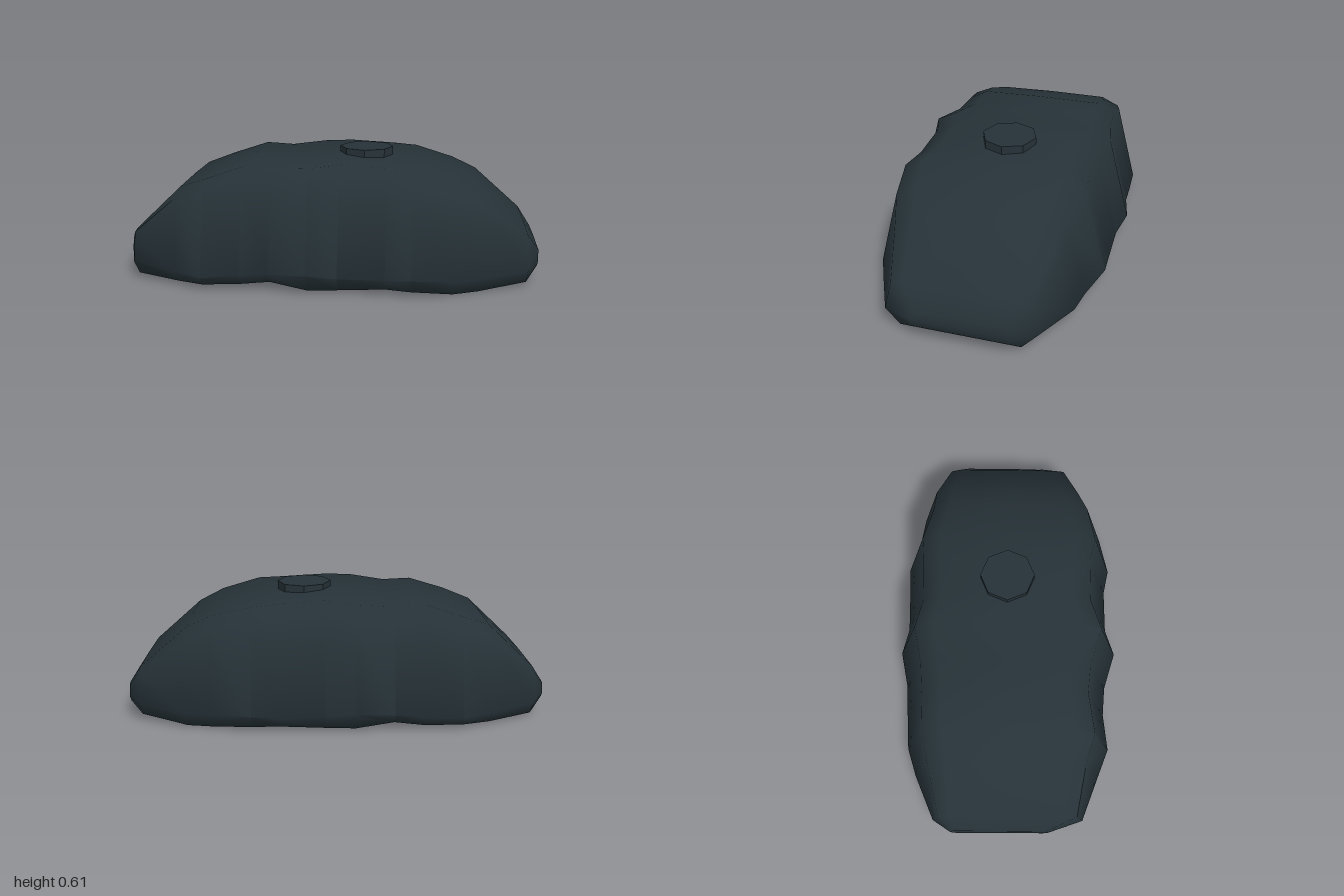
import * as THREE from 'three';
import { toCreasedNormals } from 'three/addons/utils/BufferGeometryUtils.js';

// Body stations along x: [x, front z, back z, top y, bottom y, flare y]
const STATIONS = [
  [-1.0, 0.20, -0.28, 0.16, 0.085, 0.11],
  [-0.94, 0.37, -0.37, 0.25, 0.015, 0.095],
  [-0.72, 0.455, -0.465, 0.46, 0.015, 0.08],
  [-0.58, 0.51, -0.51, 0.51, 0.025, 0.07],
  [-0.40, 0.49, -0.52, 0.57, 0.025, 0.08],
  [-0.26, 0.50, -0.525, 0.56, 0.045, 0.095],
  [-0.08, 0.555, -0.56, 0.578, 0.018, 0.112],
  [0.06, 0.515, -0.53, 0.59, 0.012, 0.09],
  [0.28, 0.515, -0.535, 0.577, 0.03, 0.09],
  [0.40, 0.54, -0.54, 0.565, 0.025, 0.1],
  [0.59, 0.50, -0.485, 0.515, 0.005, 0.09],
  [0.71, 0.445, -0.465, 0.46, 0.005, 0.09],
  [0.94, 0.335, -0.355, 0.26, 0.025, 0.1],
  [1.0, 0.20, -0.27, 0.17, 0.08, 0.11],
];

// Closed section: flared skirt, leaning sides, chamfered shoulders, flat underside
function section([x, front, back, top, bottom, flare]) {
  const h = top - flare;
  const lean = 0.23 * h;
  const chamfer = Math.min(0.09, 0.2 * h + 0.015);
  const inset = Math.min(0.075, (flare - bottom) * 0.9);
  const shoulder = flare + 0.89 * h;
  return [
    [x, flare, front],
    [x, shoulder, front - lean],
    [x, top - 0.008, front - lean - chamfer],
    [x, top, 0],
    [x, top, back + lean + chamfer],
    [x, shoulder, back + lean],
    [x, flare, back],
    [x, bottom, back + inset],
    [x, bottom, 0],
    [x, bottom, front - inset],
  ];
}

function loftBody() {
  const rings = STATIONS.map(section);
  const n = rings[0].length;
  const positions = rings.flat(2);
  const index = [];
  for (let i = 0; i < rings.length - 1; i++) {
    for (let j = 0; j < n; j++) {
      const k = (j + 1) % n;
      const a = i * n + j, b = a + n, c = i * n + k, d = c + n;
      index.push(a, b, c, b, d, c);
    }
  }
  // Blunt end caps
  const last = (rings.length - 1) * n;
  for (let j = 1; j < n - 1; j++) {
    index.push(0, j, j + 1);
    index.push(last, last + j + 1, last + j);
  }
  const geometry = new THREE.BufferGeometry();
  geometry.setAttribute('position', new THREE.Float32BufferAttribute(positions, 3));
  geometry.setIndex(index);
  return toCreasedNormals(geometry, 1.0);
}

export function createModel() {
  const slate = new THREE.MeshStandardMaterial({ color: 0x263238 });
  slate.name = 'darkSlate';

  const model = new THREE.Group();
  model.name = 'domedShell';

  const body = new THREE.Mesh(loftBody(), slate);
  body.name = 'body';

  // Eight-sided cap sunk into the top
  const cap = new THREE.Mesh(toCreasedNormals(new THREE.CylinderGeometry(0.131, 0.131, 0.077, 8), 0.5), slate);
  cap.name = 'topCap';
  cap.position.set(0.157, 0.5785, -0.006);

  model.add(body, cap);
  return model;
}
